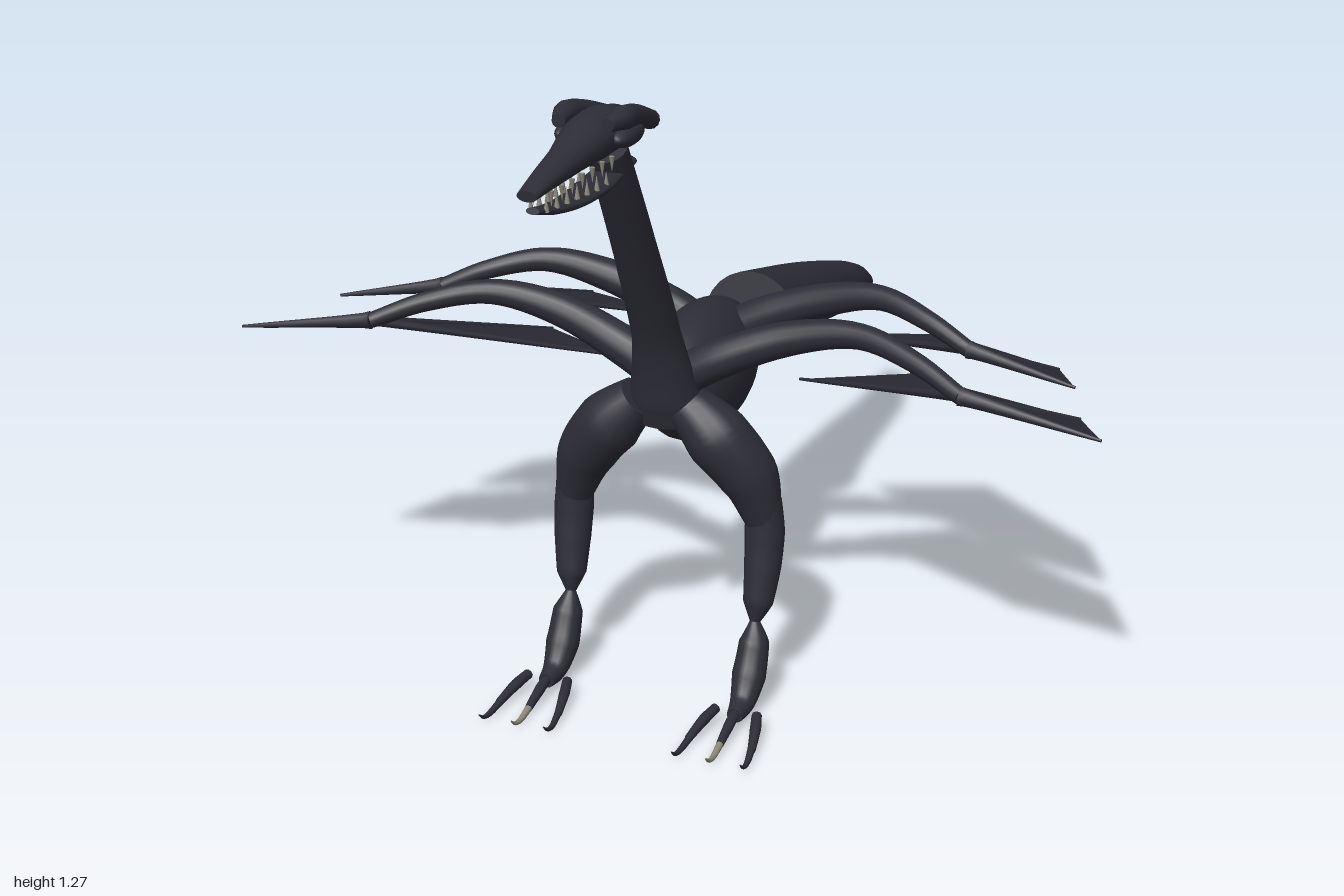
import * as THREE from 'three';

const hide = new THREE.MeshStandardMaterial({ color: 0x2d2d37 });
hide.name = 'dark hide';
const skin = new THREE.MeshStandardMaterial({ color: 0x2b2c35, side: THREE.DoubleSide });
skin.name = 'wing skin';
const bone = new THREE.MeshStandardMaterial({ color: 0x8f8a7c });
bone.name = 'pale bone';

const X = new THREE.Vector3(1, 0, 0);
const Z = new THREE.Vector3(0, 0, 1);

// Capped smooth limb through points [x, y, z, radius, heightRadius = radius]
function loft(pts, ref = X, steps = 20, sides = 16) {
  const path = new THREE.CatmullRomCurve3(pts.map(p => new THREE.Vector3(p[0], p[1], p[2])), false, 'centripetal');
  const size = new THREE.CatmullRomCurve3(pts.map(p => new THREE.Vector3(p[3], p[4] ?? p[3], 0)));
  const n = pts.length - 1;
  const pos = [], idx = [];
  for (let i = 0; i <= steps; i++) {
    const u = i / steps;
    const c = path.getPoint(u), t = path.getTangent(u);
    // radii vary linearly between the given points
    const k = Math.min(n - 1, Math.floor(u * n));
    const r = size.points[k].clone().lerp(size.points[k + 1], u * n - k);
    const side = ref.clone().addScaledVector(t, -ref.dot(t)).normalize();
    const up = t.clone().cross(side);
    for (let j = 0; j < sides; j++) {
      const a = j / sides * Math.PI * 2;
      const p = c.clone().addScaledVector(side, r.x * Math.cos(a)).addScaledVector(up, r.y * Math.sin(a));
      pos.push(p.x, p.y, p.z);
      if (i < steps) {
        const q = i * sides + j, w = i * sides + (j + 1) % sides;
        idx.push(q, w, q + sides, w, w + sides, q + sides);
      }
    }
  }
  for (const end of [0, 1]) {
    const first = end * steps * sides * 3, base = pos.length / 3;
    pos.push(...pos.slice(first, first + sides * 3));
    pos.push(...path.getPoint(end).toArray());
    for (let j = 0; j < sides; j++) {
      const a = base + j, b = base + (j + 1) % sides, c = base + sides;
      if (end) idx.push(c, a, b); else idx.push(c, b, a);
    }
  }
  const g = new THREE.BufferGeometry();
  g.setAttribute('position', new THREE.Float32BufferAttribute(pos, 3));
  g.setIndex(idx);
  g.computeVertexNormals();
  return g;
}

function add(parent, name, geometry, material = hide) {
  const m = new THREE.Mesh(geometry, material);
  m.name = name;
  parent.add(m);
  return m;
}

function group(parent, name) {
  const g = new THREE.Group();
  g.name = name;
  parent.add(g);
  return g;
}

// Arm, finger bones and a fan of skin; the first arm point is the shoulder, the last the wrist
function addWing(parent, name, s, arm, tips) {
  const wing = group(parent, name);
  const flip = pts => pts.map(([x, ...rest]) => [x * s, ...rest]);
  add(wing, 'wingArm', loft(flip(arm), Z, 28));
  const wrist = flip(arm).at(-1);
  const ends = flip(tips);
  ends.forEach((e, i) => add(wing, 'wingFinger',
    loft([[...wrist.slice(0, 3), i ? 0.011 : 0.019], [...e, 0.003]], i ? X : Z, 6, 8)));
  const pos = [];
  for (let i = 0; i < ends.length - 1; i++) pos.push(...wrist.slice(0, 3), ...ends[i], ...ends[i + 1]);
  const g = new THREE.BufferGeometry();
  g.setAttribute('position', new THREE.Float32BufferAttribute(pos, 3));
  g.computeVertexNormals();
  add(wing, 'wingMembrane', g, skin);
}

function addLeg(parent, name, s) {
  const leg = group(parent, name);
  const part = (n, pts, mat, steps, sides) =>
    add(leg, n, loft(pts.map(([x, ...r]) => [x * s, ...r]), X, steps, sides), mat);
  part('thigh', [[0.05, 0.61, 0.42, 0.045], [0.11, 0.55, 0.42, 0.066], [0.17, 0.47, 0.405, 0.06], [0.2, 0.38, 0.4, 0.038]]);
  part('shin', [[0.2, 0.42, 0.4, 0.036], [0.203, 0.35, 0.4, 0.04], [0.203, 0.28, 0.412, 0.037], [0.2, 0.21, 0.43, 0.03], [0.197, 0.168, 0.443, 0.008]]);
  part('ankle', [[0.197, 0.178, 0.441, 0.008], [0.2, 0.135, 0.453, 0.03], [0.2, 0.075, 0.485, 0.034], [0.2, 0.037, 0.525, 0.025], [0.2, 0.032, 0.57, 0.016]]);
  // Three splayed toes with upturned claws
  for (const k of [-1, 0, 1]) {
    const x = 0.2 + k * 0.042, dx = k * 0.022;
    part('toe', [[x, 0.036, 0.56, 0.01], [x + dx * 0.5, 0.03, 0.6, 0.011], [x + dx, 0.018, 0.655, 0.008]], hide, 8, 8);
    part('claw', [[x + dx * 0.9, 0.02, 0.645, 0.008], [x + dx * 1.15, 0.013, 0.69, 0.006], [x + dx * 1.2, 0.018, 0.715, 0.004], [x + dx * 1.2, 0.035, 0.735, 0.001]], k ? hide : bone, 8, 8);
  }
}

function addHead(parent) {
  const head = group(parent, 'head');
  add(head, 'skull', loft([
    [0, 1.187, 1.0, 0.018, 0.01], [0, 1.198, 0.92, 0.026, 0.02], [0, 1.207, 0.84, 0.034, 0.028],
    [0, 1.218, 0.76, 0.048, 0.04], [0, 1.22, 0.69, 0.05, 0.042], [0, 1.212, 0.62, 0.038, 0.034], [0, 1.2, 0.58, 0.02, 0.018]], X, 24));
  add(head, 'lowerJaw', loft([
    [0, 1.157, 0.98, 0.012, 0.006], [0, 1.14, 0.91, 0.022, 0.009], [0, 1.129, 0.82, 0.03, 0.011],
    [0, 1.13, 0.72, 0.035, 0.012], [0, 1.142, 0.6, 0.028, 0.011]], X, 16));
  for (const s of [1, -1]) {
    add(head, 'browHorn', loft([
      [s * 0.045, 1.25, 0.77, 0.012], [s * 0.053, 1.252, 0.72, 0.022],
      [s * 0.048, 1.238, 0.65, 0.02], [s * 0.036, 1.207, 0.555, 0.018]], X, 14, 12));
    const cheek = add(head, 'cheek', new THREE.SphereGeometry(1, 16, 12));
    cheek.scale.set(0.021, 0.02, 0.055);
    cheek.position.set(s * 0.053, 1.218, 0.7);
    // Two rows of teeth
    for (let i = 0; i < 7; i++) {
      const z = 0.72 + i * 0.037, x = s * (0.03 - i * 0.0023);
      const fang = new THREE.ConeGeometry(0.005, 0.028, 6);
      const upper = add(head, 'upperTooth', fang, bone);
      upper.position.set(x, 1.168, z);
      upper.rotation.x = Math.PI;
      add(head, 'lowerTooth', fang, bone).position.set(x * 0.85, 1.146 + i * 0.003, z + 0.015);
    }
  }
}

export function createModel() {
  const model = new THREE.Group();
  model.name = 'wingedBeast';

  const body = add(model, 'body', new THREE.SphereGeometry(1, 32, 20));
  body.scale.set(0.1, 0.135, 0.22);
  body.position.set(0, 0.597, 0.2);

  add(model, 'neck', loft([
    [0, 0.57, 0.4, 0.07, 0.05], [0, 0.62, 0.41, 0.07, 0.055], [0, 0.75, 0.447, 0.048, 0.046],
    [0, 0.96, 0.55, 0.041], [0, 1.18, 0.67, 0.037]], X, 24, 20));
  addHead(model);

  // Detached swaying tail
  add(model, 'tail', loft([
    [0, 0.6, -0.095, 0.102], [0, 0.575, -0.24, 0.09], [0.006, 0.545, -0.4, 0.08], [0.018, 0.508, -0.57, 0.07],
    [0.027, 0.473, -0.71, 0.061], [0.022, 0.442, -0.82, 0.05], [0.008, 0.408, -0.93, 0.033], [0.003, 0.388, -0.995, 0.025]], X, 32, 24));

  for (const [s, label] of [[1, 'left'], [-1, 'right']]) {
    addLeg(model, label + 'Leg', s);
    addWing(model, label + 'FrontWing', s,
      [[0.03, 0.65, 0.37, 0.042], [0.1, 0.69, 0.368, 0.04], [0.24, 0.745, 0.355, 0.034], [0.38, 0.773, 0.375, 0.025], [0.5, 0.755, 0.425, 0.02], [0.6, 0.72, 0.475, 0.016]],
      [[0.865, 0.692, 0.525], [0.795, 0.645, 0.33], [0.4, 0.578, 0.05], [0.2, 0.585, 0.17]]);
    addWing(model, label + 'RearWing', s,
      [[0.03, 0.65, 0.12, 0.042], [0.1, 0.69, 0.117, 0.04], [0.24, 0.745, 0.125, 0.034], [0.36, 0.773, 0.155, 0.025], [0.47, 0.755, 0.205, 0.02], [0.56, 0.72, 0.24, 0.016]],
      [[0.775, 0.69, 0.29], [0.71, 0.645, 0.095], [0.415, 0.575, -0.205], [0.16, 0.58, -0.11]]);
  }
  return model;
}
